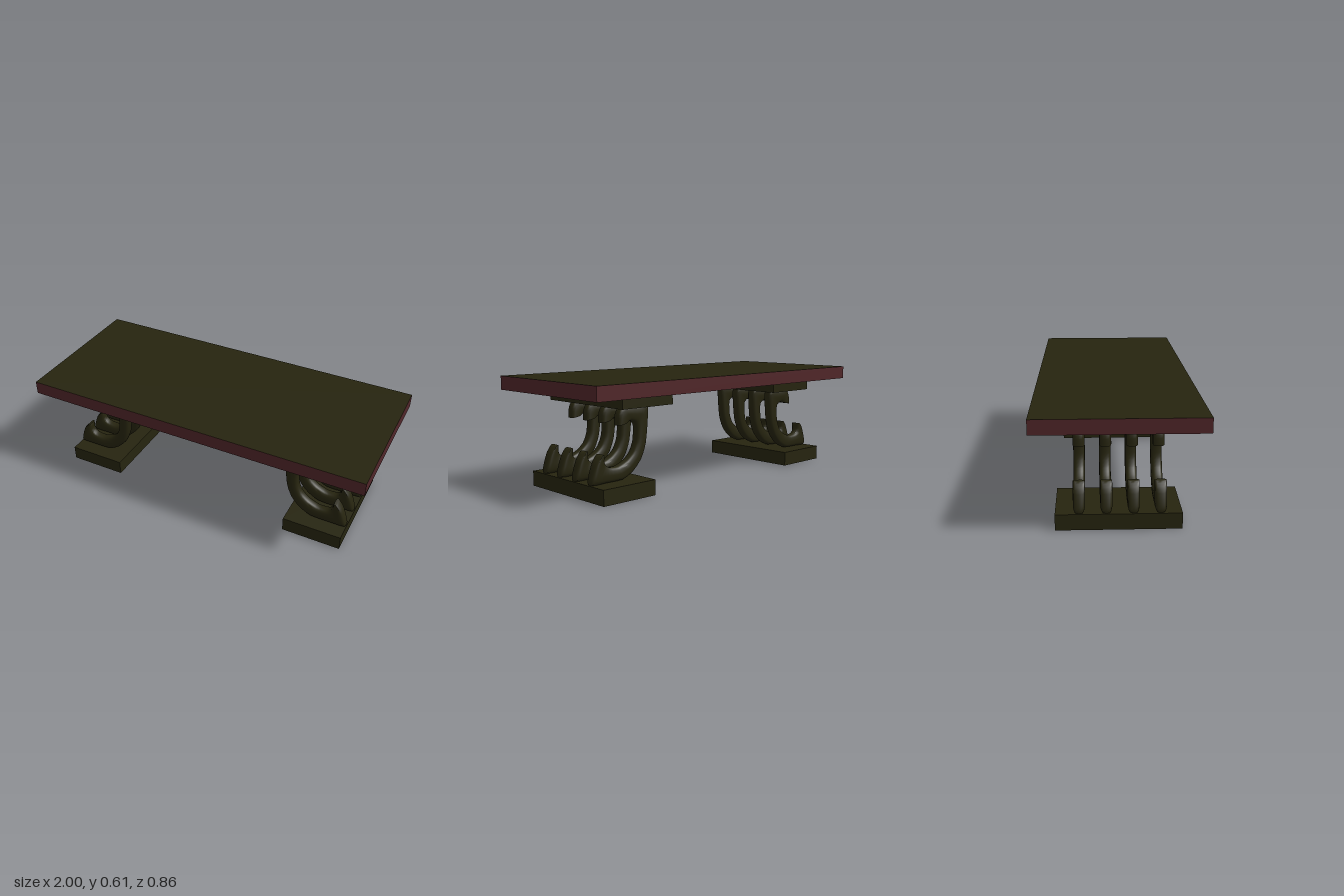
import * as THREE from 'three';
import { toCreasedNormals } from 'three/addons/utils/BufferGeometryUtils.js';

const olive = new THREE.MeshStandardMaterial({ color: 0x26240f, side: THREE.DoubleSide });
olive.name = 'dark olive';
const red = new THREE.MeshStandardMaterial({ color: 0x502629 });
red.name = 'dark red';

function add(parent, name, geometry, material, x = 0, y = 0, z = 0) {
  const mesh = new THREE.Mesh(geometry, material);
  mesh.name = name;
  mesh.position.set(x, y, z);
  parent.add(mesh);
  return mesh;
}

// Scroll leg: paired outer and inner edge points [ox, oy, ix, iy], from upper hook to lower curl
const PAIRS = [
  [0.707, 0.373, 0.645, 0.384], [0.703, 0.43, 0.63, 0.39], [0.675, 0.47, 0.615, 0.389],
  [0.58, 0.47, 0.6, 0.38], [0.505, 0.47, 0.588, 0.368], [0.506, 0.38, 0.581, 0.34],
  [0.521, 0.262, 0.587, 0.275], [0.553, 0.182, 0.612, 0.222], [0.607, 0.123, 0.655, 0.185],
  [0.676, 0.088, 0.714, 0.162], [0.79, 0.085, 0.767, 0.166], [0.88, 0.085, 0.79, 0.185],
  [0.874, 0.134, 0.797, 0.203], [0.85, 0.195, 0.799, 0.226], [0.82, 0.231, 0.803, 0.235],
];

function scrollLegGeometry(halfWidth = 0.0305, sides = 16, steps = 42) {
  const edge = (k) => new THREE.CatmullRomCurve3(
    PAIRS.map((p) => new THREE.Vector3(p[k], p[k + 1], 0)), false, 'catmullrom', 0.35);
  const outer = edge(0), inner = edge(2);
  const positions = [], index = [];
  const soft = (v) => Math.sign(v) * Math.abs(v) ** 0.65; // rounded-square section
  for (let i = 0; i <= steps; i++) {
    const o = outer.getPoint(i / steps), n = inner.getPoint(i / steps);
    const c = o.clone().add(n).multiplyScalar(0.5);
    const u = o.clone().sub(c);
    for (let j = 0; j < sides; j++) {
      const a = (j / sides) * Math.PI * 2;
      const k = soft(Math.cos(a));
      positions.push(c.x + u.x * k, c.y + u.y * k, halfWidth * soft(Math.sin(a)));
    }
  }
  for (let i = 0; i < steps; i++) {
    for (let j = 0; j < sides; j++) {
      const a = i * sides + j, b = i * sides + (j + 1) % sides;
      index.push(a, a + sides, b, b, a + sides, b + sides);
    }
  }
  // Flat ends
  const last = steps * sides;
  for (let j = 1; j < sides - 1; j++) {
    index.push(0, j, j + 1, last, last + j + 1, last + j);
  }
  const g = new THREE.BufferGeometry();
  g.setAttribute('position', new THREE.Float32BufferAttribute(positions, 3));
  g.setIndex(index);
  return toCreasedNormals(g, 0.7);
}

// Hollow block with no bottom face
function openBoxGeometry(w, h, d) {
  const g = new THREE.BoxGeometry(w, h, d);
  g.setIndex(Array.from(g.index.array).filter((_, i) => i < 18 || i >= 24));
  g.clearGroups();
  return g;
}

export function createModel() {
  const model = new THREE.Group();
  model.name = 'bench';

  // Slab with red edges and olive faces
  add(model, 'seatSlab', new THREE.BoxGeometry(2, 0.076, 0.856),
    [red, red, olive, olive, red, red], 0, 0.572, 0);

  const legGeometry = scrollLegGeometry();
  const plinthGeometry = openBoxGeometry(0.34, 0.084, 0.634);
  const capGeometry = new THREE.BoxGeometry(0.34, 0.065, 0.634);

  for (const side of [1, -1]) {
    const support = new THREE.Group();
    support.name = side > 0 ? 'leftSupport' : 'rightSupport';
    model.add(support);
    add(support, 'plinth', plinthGeometry, olive, side * 0.715, 0.042, 0);
    add(support, 'cap', capGeometry, olive, side * 0.59, 0.502, 0);
    // Four scroll legs in a row, turned to curl outward
    for (let i = 0; i < 4; i++) {
      const leg = add(support, 'scrollLeg', legGeometry, olive, 0, 0, 0.21 - i * 0.1357);
      if (side < 0) leg.rotation.y = Math.PI;
    }
  }
  return model;
}
